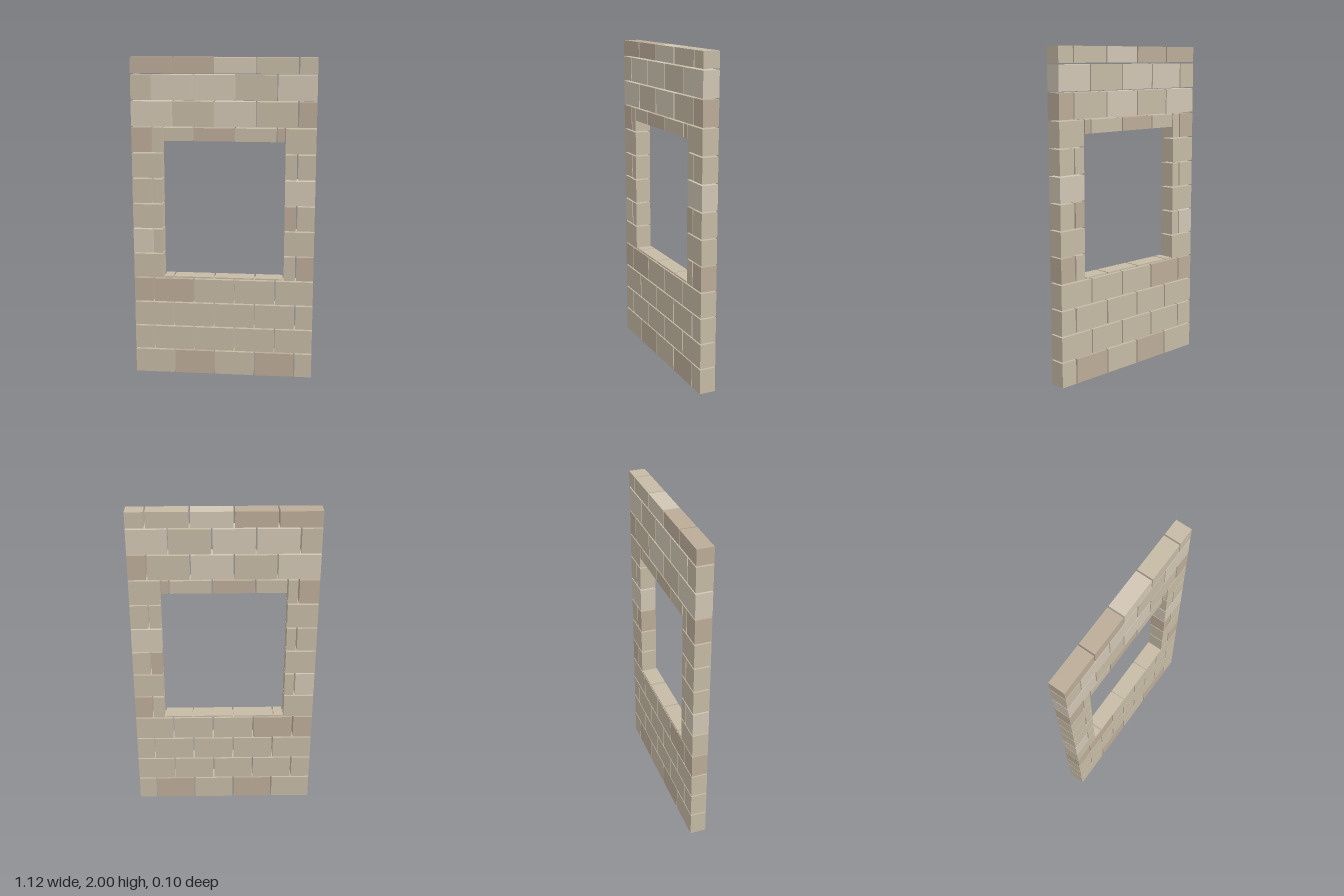
import * as THREE from 'three';

const GAP = 0.009, PITCH_X = 0.2545, PITCH_Y = 0.1586, BRICK_H = 0.15, DEPTH = 0.1;
const WALL = 0.562, TOP = 2;
const OPENING = { x: 0.374, bottom: 0.645, top: 1.5 };

// stone tones: m = medium, l = light, p = pinkish
const TONES = {
  m: new THREE.MeshStandardMaterial({ color: 0xc6baa5 }),
  l: new THREE.MeshStandardMaterial({ color: 0xd1c6b4 }),
  p: new THREE.MeshStandardMaterial({ color: 0xbcac98 }),
};

// tones per course: left pier | between | right pier, or the whole course
const COURSES = [
  'mpmpm', 'mmmmm', 'mmmmm', 'ppmmm',
  'm|mmmm|mp', 'lm||m', 'm||pm', 'mm||l', 'm||mm', 'pm|mpmp|m',
  'lmlmp', 'mllml', 'pplmm',
];

// lays one run of bricks from x0 to x1, cut at the shared vertical joints
function layRun(group, name, x0, x1, y0, y1, odd, tones) {
  const firstJoint = -WALL + PITCH_X * (odd ? 0.5 : 1) - GAP / 2;
  const cuts = [];
  for (let i = 0; i < 5; i++) {
    const x = firstJoint + i * PITCH_X;
    if (x > x0 + 0.02 && x < x1 - 0.02) cuts.push(x);
  }
  const starts = [x0, ...cuts.map((x) => x + GAP / 2)];
  const ends = [...cuts.map((x) => x - GAP / 2), x1];
  starts.forEach((start, i) => {
    const width = ends[i] - start;
    const brick = new THREE.Mesh(
      new THREE.BoxGeometry(width, y1 - y0, DEPTH),
      TONES[tones[i] || 'm'],
    );
    brick.name = name;
    brick.position.set(start + width / 2, (y0 + y1) / 2, 0);
    group.add(brick);
  });
}

export function createModel() {
  const wall = new THREE.Group();
  wall.name = 'brickWallWithWindow';

  COURSES.forEach((tones, row) => {
    const course = new THREE.Group();
    course.name = `course${row + 1}`;
    const odd = row % 2 === 1;
    const y1 = Math.min(0.152 + row * PITCH_Y, TOP);
    const top = row === 12 ? TOP : y1;
    const bottom = row === 0 ? 0 : 0.152 + row * PITCH_Y - BRICK_H;
    const parts = tones.split('|');

    if (parts.length === 1) {
      layRun(course, 'brick', -WALL, WALL, bottom, top, odd, tones);
    } else {
      // piers beside the opening
      const inner = OPENING.x + GAP / 2;
      layRun(course, 'leftEndBrick', -WALL, -inner, bottom, top, odd, parts[0]);
      layRun(course, 'rightEndBrick', inner, WALL, bottom, top, odd, parts[2]);
      // thin sill strip and trimmed lintel bricks
      const edge = OPENING.x - GAP / 2;
      if (bottom < OPENING.bottom) {
        layRun(course, 'sillStrip', -edge, edge, bottom, OPENING.bottom, odd, parts[1]);
      } else if (top > OPENING.top) {
        layRun(course, 'lintelBrick', -edge, edge, OPENING.top, top, odd, parts[1]);
      }
    }
    wall.add(course);
  });
  return wall;
}
